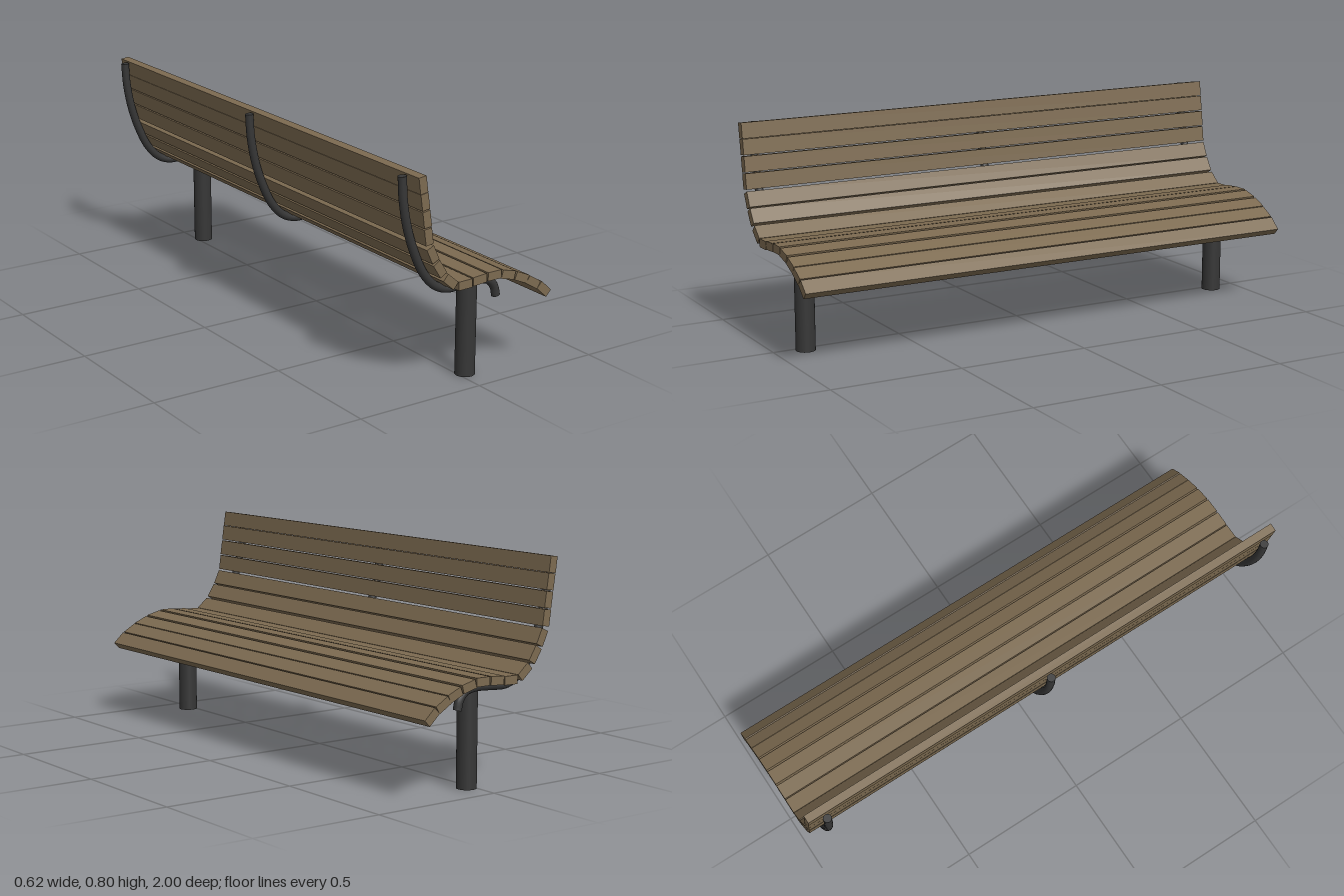
import * as THREE from 'three';

export function createModel() {
  const bench = new THREE.Group();
  bench.name = 'bench';
  const wood = new THREE.MeshStandardMaterial({ color: 0x7c6a50 });
  wood.name = 'brown wood';
  const metal = new THREE.MeshStandardMaterial({ color: 0x363636 });
  metal.name = 'dark metal';

  const add = (geometry, material, name, x = 0, y = 0, z = 0) => {
    const mesh = new THREE.Mesh(geometry, material);
    mesh.name = name;
    mesh.position.set(x, y, z);
    bench.add(mesh);
    return mesh;
  };

  // Slats, from the top of the back to the seat's front edge: x, y, tilt in degrees
  const slats = [
    [-0.256, 0.767, 98], [-0.247, 0.708, 98], [-0.238, 0.646, 98], [-0.23, 0.584, 98],
    [-0.211, 0.518, 115], [-0.18, 0.461, 122.5], [-0.134, 0.407, 139],
    [-0.071, 0.384, 1], [-0.009, 0.389, 4], [0.055, 0.392, 0],
    [0.116, 0.382, -14.5], [0.176, 0.36, -23.5], [0.228, 0.332, -31], [0.277, 0.297, -43],
  ];
  const slatGeometry = new THREE.BoxGeometry(0.058, 0.031, 2);
  slats.forEach(([x, y, tilt], i) => {
    const slat = add(slatGeometry, wood, i < 7 ? 'backSlat' : 'seatSlat', x, y);
    slat.rotation.z = THREE.MathUtils.degToRad(tilt);
  });

  // Bent tubes carrying the slats, with capped ends
  const path = new THREE.CatmullRomCurve3([
    [-0.295, 0.789], [-0.289, 0.7], [-0.27, 0.6], [-0.24, 0.51], [-0.2, 0.43], [-0.152, 0.379],
    [-0.1, 0.358], [-0.03, 0.36], [0.04, 0.362], [0.08, 0.352], [0.105, 0.325], [0.114, 0.29],
  ].map(([x, y]) => new THREE.Vector3(x, y, 0)));
  const radius = 0.0155;
  const tubeGeometry = new THREE.TubeGeometry(path, 60, radius, 16);
  const capGeometry = new THREE.CircleGeometry(radius, 16);
  const forward = new THREE.Vector3(0, 0, 1);
  for (const z of [-0.935, 0, 0.935]) {
    add(tubeGeometry, metal, 'supportTube', 0, 0, z);
    for (const t of [0, 1]) {
      const end = path.getPoint(t);
      const outward = path.getTangent(t).multiplyScalar(t ? 1 : -1);
      const cap = add(capGeometry, metal, 'tubeCap', end.x, end.y, z);
      cap.quaternion.setFromUnitVectors(forward, outward);
    }
  }

  // Two round posts beside the outer tubes
  const postGeometry = new THREE.CylinderGeometry(0.036, 0.036, 0.365, 32);
  for (const z of [-0.885, 0.885]) add(postGeometry, metal, 'post', 0.026, 0.1825, z);

  return bench;
}
